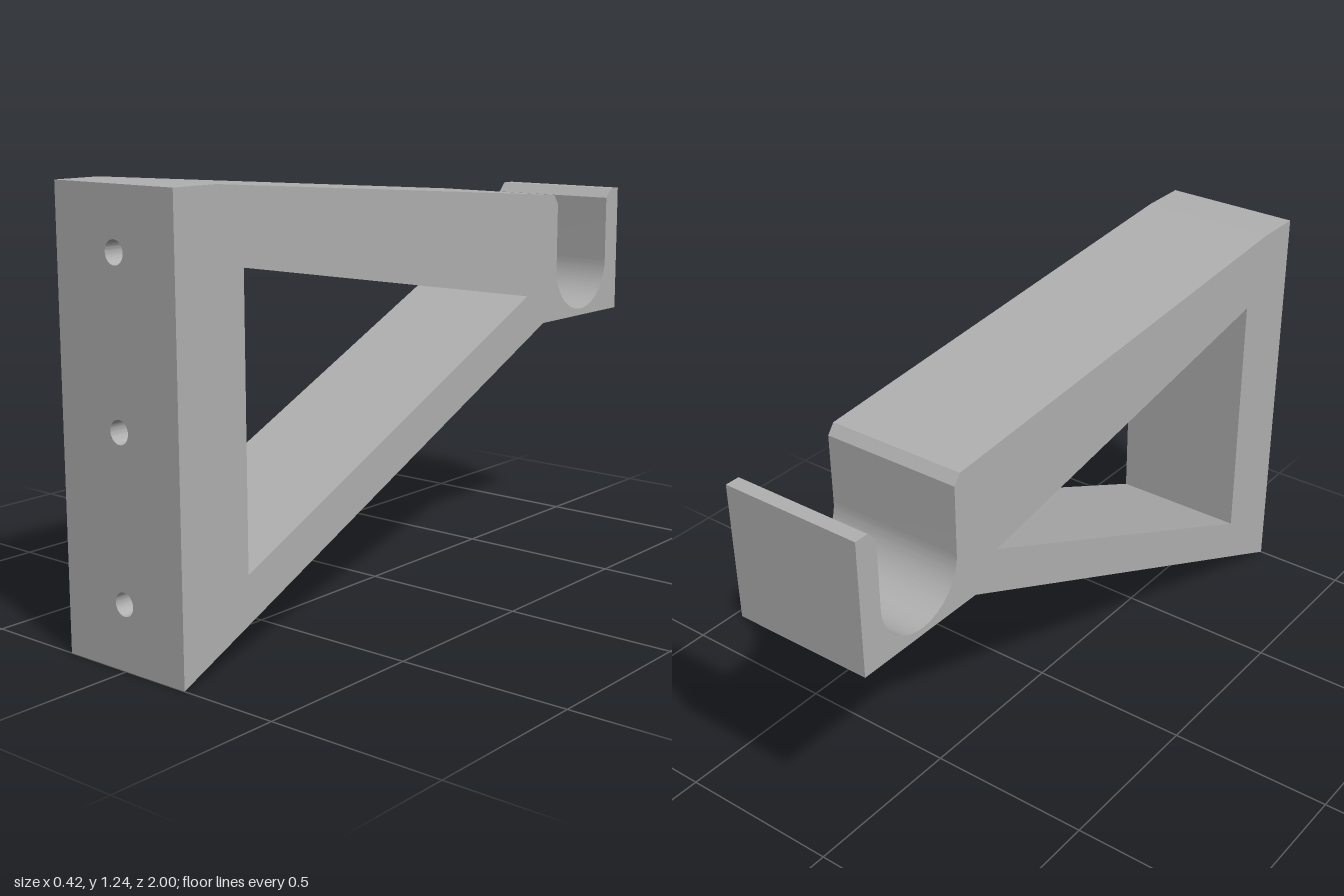
import * as THREE from 'three';
import { toCreasedNormals } from 'three/addons/utils/BufferGeometryUtils.js';

const WIDTH = 0.42, HEIGHT = 1.235;
const FRONT = 1, SEAM = 0.88; // the mounting plate lies between these z positions
const SEAM_BOTTOM = (FRONT - SEAM) * 0.722 / 1.572; // the slanted underside at the seam

export function createModel() {
  const group = new THREE.Group();
  const grey = new THREE.MeshStandardMaterial({ color: 0xb0b0b0 });
  grey.name = 'grey';

  const add = (name, geometry) => {
    const mesh = new THREE.Mesh(geometry, grey);
    mesh.name = name;
    group.add(mesh);
  };

  // Side profile of the arm, brace and cradle, drawn as (-z, y)
  const profile = new THREE.Shape();
  profile.moveTo(-SEAM, SEAM_BOTTOM);
  profile.lineTo(0.572, 0.722);
  profile.lineTo(1, 0.722);
  profile.lineTo(1, 1.117);
  profile.lineTo(0.957, 1.117);
  profile.lineTo(0.93, 1.088);
  profile.lineTo(0.93, 0.887);
  profile.absarc(0.786, 0.887, 0.144, 0, Math.PI, true);
  profile.lineTo(0.642, 1.088);
  profile.lineTo(0.62, 1.117);
  profile.lineTo(-0.856, HEIGHT);
  profile.lineTo(-SEAM, HEIGHT);
  profile.closePath();

  // Triangular opening
  profile.holes.push(new THREE.Path([
    new THREE.Vector2(-0.767, 1.026),
    new THREE.Vector2(0.481, 0.816),
    new THREE.Vector2(-0.767, 0.24),
  ]));

  const arm = new THREE.ExtrudeGeometry(profile, { depth: WIDTH, bevelEnabled: false, curveSegments: 32 });
  arm.translate(0, 0, -WIDTH / 2).rotateY(Math.PI / 2);
  add('bracketArm', toCreasedNormals(arm, 0.06));

  // Mounting plate with three blind screw holes
  const w = WIDTH / 2;
  const face = new THREE.Shape([
    new THREE.Vector2(-w, 0),
    new THREE.Vector2(w, 0),
    new THREE.Vector2(w, HEIGHT),
    new THREE.Vector2(-w, HEIGHT),
  ]);
  for (const y of [0.178, 0.623, 1.069]) {
    face.holes.push(new THREE.Path().absarc(0, y, 0.032, 0, Math.PI * 2, false));
  }
  const plate = new THREE.ExtrudeGeometry(face, { depth: FRONT - SEAM, bevelEnabled: false, curveSegments: 20 });
  plate.translate(0, 0, SEAM);

  // Raise the rear bottom edge to follow the slanted underside
  const p = plate.attributes.position;
  for (let i = 0; i < p.count; i++) {
    if (p.getY(i) < 0.001 && p.getZ(i) < SEAM + 0.001) p.setY(i, SEAM_BOTTOM);
  }
  add('mountingPlate', toCreasedNormals(plate, 0.25));

  return group;
}
